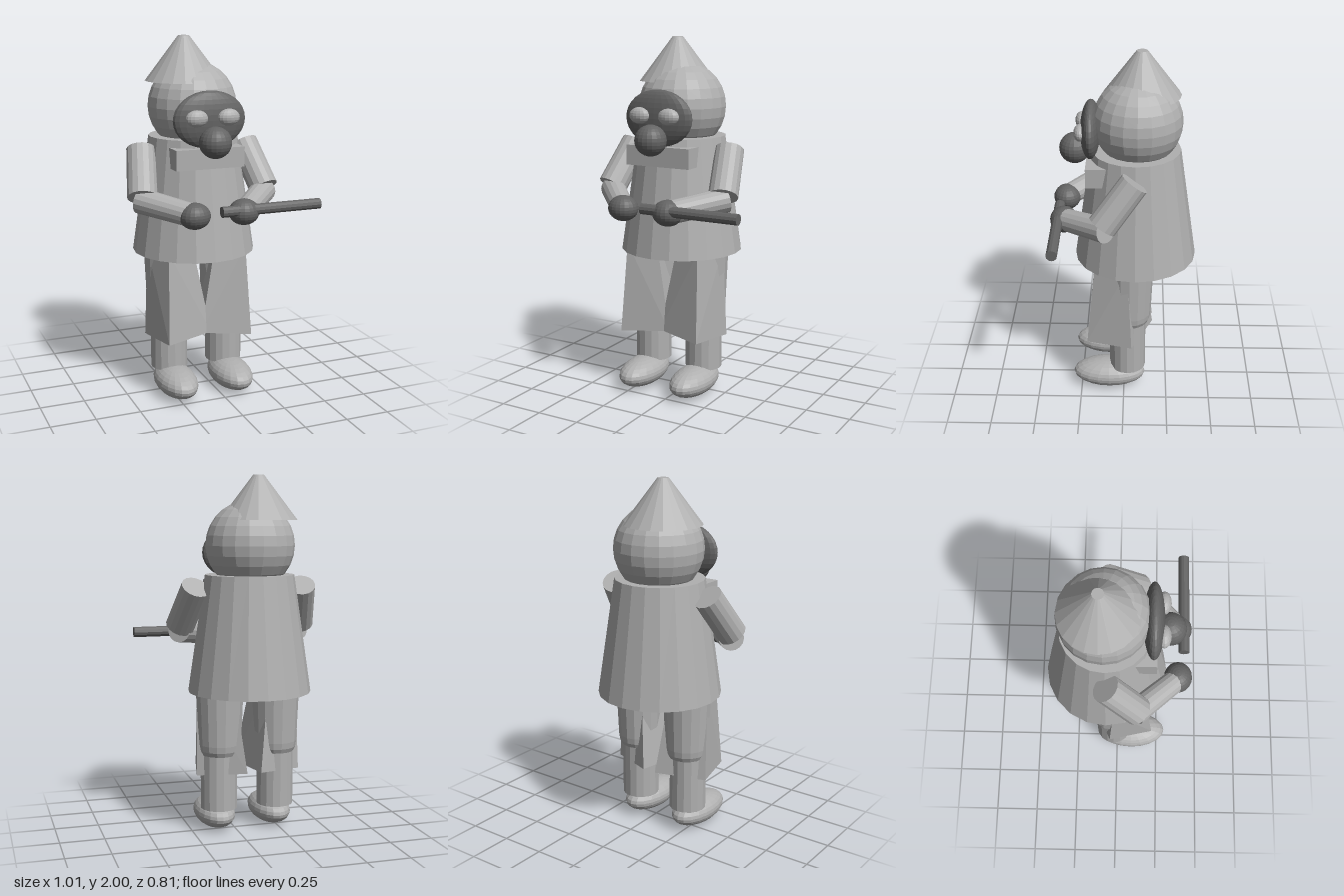
import * as THREE from 'three';
import { ConvexGeometry } from 'three/addons/geometries/ConvexGeometry.js';

const CX = -0.07; // mirror plane of the figure

export function createModel() {
  const model = new THREE.Group();
  model.name = 'hoodedFigure';

  const light = new THREE.MeshStandardMaterial({ color: 0xb0b0b0, flatShading: true });
  light.name = 'light grey';
  const dark = new THREE.MeshStandardMaterial({ color: 0x646464, flatShading: true });
  dark.name = 'dark grey';

  function add(name, geometry, material, x = 0, y = 0, z = 0) {
    const mesh = new THREE.Mesh(geometry, material);
    mesh.name = name;
    mesh.position.set(x, y, z);
    model.add(mesh);
    return mesh;
  }

  function ellipsoid(name, material, x, y, z, rx, ry, rz, w = 20, h = 14) {
    return add(name, new THREE.SphereGeometry(1, w, h).scale(rx, ry, rz), material, x, y, z);
  }

  // Tapered cylinder between two points
  function limb(name, material, a, b, ra, rb, sides = 16) {
    const from = new THREE.Vector3(...a);
    const to = new THREE.Vector3(...b);
    const dir = to.clone().sub(from);
    const mid = from.clone().add(to).multiplyScalar(0.5);
    const mesh = add(name, new THREE.CylinderGeometry(rb, ra, dir.length(), sides), material, mid.x, mid.y, mid.z);
    mesh.quaternion.setFromUnitVectors(new THREE.Vector3(0, 1, 0), dir.normalize());
    return mesh;
  }

  // Robe, hooded head and off-centre pointed hat
  add('robe', new THREE.CylinderGeometry(0.247, 0.343, 0.65, 20), light, CX, 1.135, -0.063);
  ellipsoid('hood', light, CX, 1.62, -0.072, 0.246, 0.246, 0.246, 20, 14);
  add('hat', new THREE.CylinderGeometry(0.03, 0.214, 0.243, 20), light, -0.111, 1.8785, -0.092);

  // Mask with snout and eyes
  ellipsoid('mask', dark, CX, 1.573, 0.185, 0.206, 0.154, 0.055, 24, 16);
  ellipsoid('snout', dark, CX, 1.462, 0.272, 0.088, 0.085, 0.086);
  // Chest pouch
  add('chestPouch', new THREE.BoxGeometry(0.392, 0.11, 0.15), light, CX, 1.365, 0.133);

  for (const s of [1, -1]) {
    const side = s > 0 ? 'left' : 'right';
    const px = (d) => CX + s * d;

    ellipsoid(side + 'Eye', light, px(0.09), 1.588, 0.236, 0.062, 0.045, 0.036, 16, 10);

    // Arm
    limb(side + 'UpperArm', light, [px(0.305), 1.395, -0.058], [px(0.355), 1.165, 0.112], 0.08, 0.082);
    limb(side + 'Forearm', light, [px(0.365), 1.145, 0.092], [px(0.158), 1.097, 0.32], 0.07, 0.063);
    ellipsoid(side + 'Hand', dark, px(0.14), 1.092, 0.332, 0.085, 0.071, 0.077);

    // Apron panel: flared four-sided block, turned slightly outwards
    const corners = [
      // distance from centre, y, z
      [0.226, 0.85, 0.162], [0.29, 0.85, -0.02], [0.1, 0.85, -0.1], [0.065, 0.85, 0.105],
      [0.245, 0.342, 0.211], [0.302, 0.335, -0.045], [0.04, 0.355, -0.165], [-0.03, 0.36, 0.135],
    ];
    add(side + 'ApronPanel', new ConvexGeometry(corners.map(([d, y, z]) => new THREE.Vector3(px(d), y, z))), light);

    // Leg and shoe
    const thigh = [[0, 0.44], [0.104, 0.45], [0.116, 0.475], [0.121, 0.51], [0.136, 0.85], [0, 0.85]];
    add(side + 'Thigh', new THREE.LatheGeometry(thigh.map(([r, y]) => new THREE.Vector2(r, y)), 16), light, px(0.165), 0, -0.033);
    add(side + 'Shin', new THREE.CylinderGeometry(0.104, 0.104, 0.34, 16), light, px(0.167), 0.305, -0.021);
    ellipsoid(side + 'Shoe', light, px(0.167), 0.081, 0.087, 0.113, 0.081, 0.21);
  }

  // Staff held in the left hand
  limb('staff', dark, [-0.071, 1.108, 0.365], [0.503, 1.108, 0.365], 0.03, 0.03, 12);

  return model;
}
